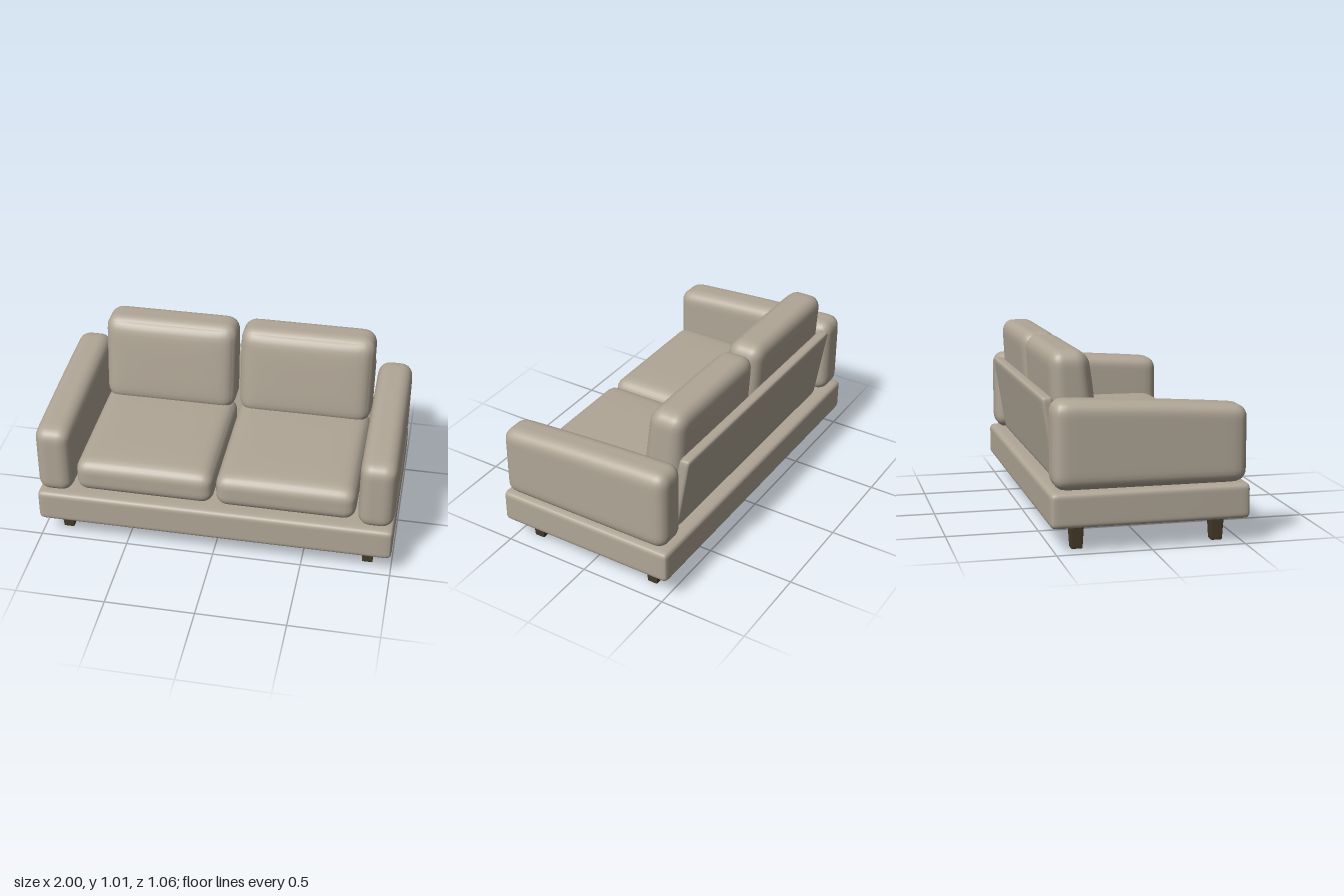
import * as THREE from 'three';
import { mergeVertices } from 'three/addons/utils/BufferGeometryUtils.js';

// Rounded block between min and max corners; grid lines bunch near the edges,
// then an optional rule reshapes each vertex.
function softBlock(min, max, radius, segments, reshape) {
  const lo = new THREE.Vector3(...min), hi = new THREE.Vector3(...max);
  const centre = lo.clone().add(hi).multiplyScalar(0.5);
  const half = hi.clone().sub(lo).multiplyScalar(0.5);
  const inner = half.clone().subScalar(radius);
  const outer = inner.clone().negate();
  let geo = new THREE.BoxGeometry(2, 2, 2, segments, segments, segments);
  geo.deleteAttribute('uv');
  geo.deleteAttribute('normal');
  geo = mergeVertices(geo, 1e-5);
  const pos = geo.attributes.position;
  const p = new THREE.Vector3(), core = new THREE.Vector3();
  for (let i = 0; i < pos.count; i++) {
    p.fromBufferAttribute(pos, i);
    p.set(Math.sin(p.x * Math.PI / 2), Math.sin(p.y * Math.PI / 2), Math.sin(p.z * Math.PI / 2));
    const u = p.clone();
    p.multiply(half);
    core.copy(p).clamp(outer, inner);
    p.sub(core).setLength(radius).add(core).add(centre);
    if (reshape) reshape(p, u);
    pos.setXYZ(i, p.x, p.y, p.z);
  }
  geo.computeVertexNormals();
  return geo;
}

export function createModel() {
  const sofa = new THREE.Group();
  sofa.name = 'sofa';
  const fabric = new THREE.MeshStandardMaterial({ color: 0xb0a696 });
  fabric.name = 'fabric';
  const wood = new THREE.MeshStandardMaterial({ color: 0x453b2a });
  wood.name = 'darkWood';

  const add = (name, geo, material, x = 0, y = 0, z = 0) => {
    const mesh = new THREE.Mesh(geo, material);
    mesh.name = name;
    mesh.position.set(x, y, z);
    sofa.add(mesh);
  };

  // Plinth
  add('base', softBlock([-1, 0.13, -0.528], [1, 0.32, 0.528], 0.03, 24), fabric);

  // Leaning back panel
  add('backPanel', softBlock([-0.78, 0.325, -0.033], [0.78, 0.775, 0.033], 0.022, 20, (p) => {
    p.z += -0.497 - (p.y - 0.75) * 0.165;
  }), fabric);

  // Arm: top rises gently towards the back
  const arm = softBlock([-0.1, 0.32, -0.51], [0.1, 0.76, 0.515], 0.07, 22, (p) => {
    const t = (0.515 - p.z) / 1.025;
    const top = 0.727 + 0.085 * t - 0.025 * t * t;
    p.y = 0.32 + (p.y - 0.32) * (top - 0.32) / 0.44;
  });

  // Seat cushion: slightly crowned top
  const seat = softBlock([-0.39, 0.32, -0.36], [0.39, 0.515, 0.48], 0.068, 22, (p, u) => {
    if (u.y > 0) p.y += 0.014 * u.y * (1 - u.x ** 4) * (1 - u.z ** 4);
  });

  // Back cushion: leans back, narrows upwards, front swells
  const back = softBlock([-0.385, 0.48, -0.12], [0.385, 1.008, 0.12], 0.078, 22, (p, u) => {
    const t = (p.y - 0.48) / 0.528;
    const front = -0.215 - 0.065 * t, rear = -0.455 - 0.03 * t;
    const swell = u.z > 0 ? 0.016 * u.z * (1 - u.x ** 4) * (1 - u.y ** 4) : 0;
    p.z = (front + rear) / 2 + p.z * (front - rear) / 0.24 + swell;
  });

  // Tapered square leg
  const leg = softBlock([-0.037, 0, -0.037], [0.037, 0.135, 0.037], 0.005, 8, (p) => {
    const s = 0.8 + 0.2 * p.y / 0.135;
    p.x *= s;
    p.z *= s;
  });

  for (const [side, s] of [['left', 1], ['right', -1]]) {
    add(side + 'Arm', arm, fabric, s * 0.898);
    add(side + 'SeatCushion', seat, fabric, s * 0.396);
    add(side + 'BackCushion', back, fabric, s * 0.397);
    add(side + 'FrontLeg', leg, wood, s * 0.865, 0, 0.377);
    add(side + 'RearLeg', leg, wood, s * 0.865, 0, -0.373);
  }
  return sofa;
}
